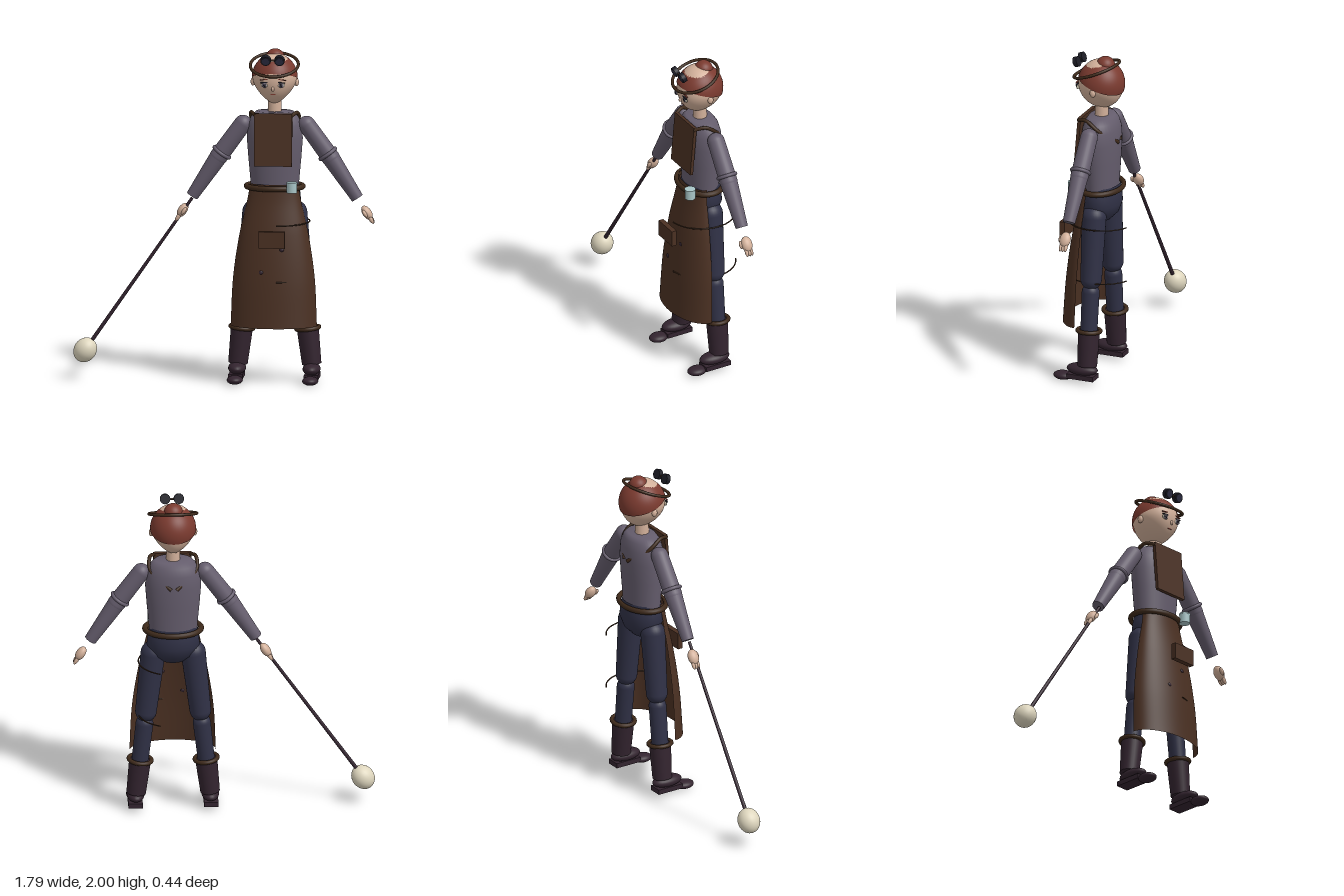
import * as THREE from 'three';
import { mergeGeometries } from 'three/addons/utils/BufferGeometryUtils.js';
import { ParametricGeometry } from 'three/addons/geometries/ParametricGeometry.js';

const V = (x, y, z) => new THREE.Vector3(x, y, z);
const UP = V(0, 1, 0);

export function createModel() {
  const mat = (name, color, side = THREE.FrontSide) => {
    const m = new THREE.MeshStandardMaterial({ color, side });
    m.name = name;
    return m;
  };
  const skin = mat('skin', 0xd2b09a);
  const hair = mat('hair', 0x7a3a2f, THREE.DoubleSide);
  const shirt = mat('shirt', 0x655d6d);
  const leather = mat('apronLeather', 0x4a3022, THREE.DoubleSide);
  const strap = mat('strapLeather', 0x3d291a);
  const cloth = mat('trousers', 0x303146);
  const boot = mat('boots', 0x33242f);
  const cream = mat('cream', 0xded6be);
  const glass = mat('glass', 0xa9c6c8);
  const dark = mat('dark', 0x1d1d26);

  const model = new THREE.Group();
  const figure = new THREE.Group();
  figure.name = 'figure';
  figure.position.x = 0.296;
  model.add(figure);

  const add = (name, geo, material, pos = V(0, 0, 0), rx = 0, rz = 0) => {
    const m = new THREE.Mesh(geo, material);
    m.name = name;
    m.position.copy(pos);
    m.rotation.set(rx, 0, rz);
    figure.add(m);
    return m;
  };
  const ball = (name, material, pos, x, y, z, rx = 0, rz = 0) =>
    add(name, new THREE.SphereGeometry(1, 28, 18).scale(x, y, z), material, pos, rx, rz);
  // turns a part's y axis to point from a to b
  const aim = (mesh, a, b) => {
    mesh.quaternion.setFromUnitVectors(UP, b.clone().sub(a).normalize());
    return mesh;
  };
  // tapered limb from a to b with optional rounded ends
  const limb = (name, material, a, b, ra, rb, roundA = true, roundB = true) => {
    const len = a.distanceTo(b);
    const parts = [new THREE.CylinderGeometry(rb, ra, len, 28)];
    if (roundA) parts.push(new THREE.SphereGeometry(ra, 28, 16).translate(0, -len / 2, 0));
    if (roundB) parts.push(new THREE.SphereGeometry(rb, 28, 16).translate(0, len / 2, 0));
    return aim(add(name, mergeGeometries(parts), material, a.clone().lerp(b, 0.5)), a, b);
  };
  const ring = (r, tube) => new THREE.TorusGeometry(r, tube, 12, 48).rotateX(Math.PI / 2);
  const lathe = (pts, depth) =>
    new THREE.LatheGeometry(pts.map(p => new THREE.Vector2(...p)), 40).scale(1, 1, depth);

  // torso, hips, neck
  add('torso', lathe([[0.142, 1.16], [0.146, 1.22], [0.158, 1.35], [0.167, 1.47], [0.16, 1.55],
    [0.14, 1.6], [0.11, 1.63], [0, 1.632]], 0.67), shirt, V(0, 0, -0.012));
  add('hips', lathe([[0, 0.96], [0.07, 0.975], [0.13, 1.02], [0.158, 1.08], [0.152, 1.14],
    [0.14, 1.2]], 0.73), cloth, V(0, 0, -0.014));
  add('neck', new THREE.CylinderGeometry(0.04, 0.042, 0.14, 24), skin, V(0, 1.65, -0.01));

  // head, narrowing to the chin when seen from the front
  const headGeo = new THREE.SphereGeometry(1, 40, 28);
  const hp = headGeo.attributes.position;
  for (let i = 0; i < hp.count; i++) {
    const t = Math.max(0, -hp.getY(i));
    hp.setX(i, hp.getX(i) * (1 - 0.4 * t ** 1.5));
  }
  headGeo.scale(0.132, 0.15, 0.137);
  headGeo.computeVertexNormals();
  add('head', headGeo, skin, V(0, 1.828, -0.007));
  add('hairCap', new THREE.SphereGeometry(1, 40, 16, 0, Math.PI * 2, 0, Math.PI / 2)
    .scale(0.137, 0.148, 0.143), hair, V(0, 1.828, -0.007), -0.32);
  ball('hairBun', hair, V(0, 1.948, -0.035), 0.056, 0.053, 0.056);

  // face
  for (const s of [-1, 1]) {
    ball('eyeWhite', cream, V(s * 0.05, 1.805, 0.119), 0.022, 0.014, 0.008);
    ball('iris', shirt, V(s * 0.05, 1.805, 0.125), 0.014, 0.016, 0.005);
    ball('pupil', dark, V(s * 0.05, 1.805, 0.129), 0.007, 0.009, 0.004);
    add('eyelid', new THREE.BoxGeometry(0.042, 0.006, 0.008), dark, V(s * 0.052, 1.821, 0.124), 0, s * -0.06);
    add('eyebrow', new THREE.BoxGeometry(0.045, 0.005, 0.008), hair, V(s * 0.055, 1.838, 0.122), 0, s * -0.15);
    ball('ear', skin, V(s * 0.13, 1.805, -0.007), 0.014, 0.024, 0.018);
  }
  ball('nose', skin, V(0, 1.782, 0.125), 0.009, 0.014, 0.01);
  add('mouth', new THREE.BoxGeometry(0.03, 0.005, 0.008), hair, V(0, 1.748, 0.107));

  // goggles pushed up on their strap
  add('goggleStrap', ring(0.143, 0.009), strap, V(0, 1.912, 0.022), 0.365);
  for (const s of [-1, 1]) {
    add('goggleCup', new THREE.CylinderGeometry(0.031, 0.031, 0.026, 24).rotateX(Math.PI / 2),
      dark, V(s * 0.041, 1.957, 0.133), 0.35);
    add('goggleLens', new THREE.CylinderGeometry(0.022, 0.022, 0.006, 24).rotateX(Math.PI / 2),
      cloth, V(s * 0.041, 1.9525, 0.1455), 0.35);
  }
  add('goggleBridge', new THREE.CylinderGeometry(0.006, 0.006, 0.04, 10), strap,
    V(0, 1.957, 0.133), 0, Math.PI / 2);

  // arms and hands
  for (const s of [-1, 1]) {
    const z = -0.01;
    const shoulder = V(s * 0.19, 1.55, z), elbow = V(s * 0.335, 1.35, z), wrist = V(s * 0.492, 1.112, z);
    limb('upperArm', shirt, shoulder, elbow, 0.052, 0.054);
    limb('forearm', shirt, elbow, wrist, 0.053, 0.037, true, false);
    aim(add('sleeveBand', ring(0.054, 0.011), shirt, V(s * 0.316, 1.376, z)), shoulder, elbow);
    const along = wrist.clone().sub(elbow).normalize();
    const hand = d => wrist.clone().addScaledVector(along, d);
    aim(ball('palm', skin, hand(0.105), 0.027, 0.047, 0.034), elbow, wrist);
    for (const f of [-1, 0, 1])
      aim(ball('finger', skin, hand(0.15).add(V(0, 0, f * 0.016)), 0.012, 0.03, 0.01), elbow, wrist);
    aim(ball('thumb', skin, hand(0.1).add(V(-s * 0.008, -0.005, 0.033)), 0.011, 0.025, 0.012), elbow, wrist);
  }

  // staff with a padded end, held in the right hand
  const staffTop = V(-0.492, 1.1, 0), staffEnd = V(-1.13, 0.175, 0);
  limb('staff', boot, staffEnd, staffTop, 0.0115, 0.009, false, false);
  aim(ball('staffBall', cream, staffEnd, 0.067, 0.077, 0.067), staffEnd, staffTop);

  // legs and boots
  for (const s of [-1, 1]) {
    const z = -0.012, at = (y, dz = z) => V(s * (0.232 - 0.11 * y), y, dz);
    limb('thigh', cloth, at(1.02), at(0.64), 0.074, 0.064);
    limb('shin', cloth, at(0.56), at(0.3), 0.053, 0.05);
    limb('bootShaft', boot, at(0.11), at(0.33), 0.058, 0.066, false, false);
    aim(add('bootCuff', ring(0.068, 0.013), strap, at(0.325)), at(0.1), at(0.3));
    ball('bootAnkle', boot, V(s * 0.222, 0.085, 0.02), 0.053, 0.036, 0.098);
    ball('bootToe', boot, V(s * 0.225, 0.031, 0.142), 0.048, 0.026, 0.06);
    add('bootSole', new THREE.BoxGeometry(0.085, 0.03, 0.17), boot, V(s * 0.225, 0.043, 0.018));
  }

  // apron skirt: half-elliptical shell flaring downwards (rows hold half width, height, front z)
  const rows = new THREE.CatmullRomCurve3([V(0.142, 1.2, 0.095), V(0.16, 1.1, 0.108),
    V(0.205, 0.9, 0.147), V(0.243, 0.64, 0.182), V(0.257, 0.35, 0.204)]);
  add('apronSkirt', new ParametricGeometry((u, v, out) => {
    const r = rows.getPoint(v), a = (u - 0.5) * Math.PI, back = 0.025 + 0.032 * v;
    out.set(r.x * Math.sin(a), r.y, back + (r.z - back) * Math.cos(a));
  }, 32, 24), leather);
  add('apronBib', new THREE.BoxGeometry(0.226, 0.315, 0.02), leather, V(0, 1.472, 0.1), -0.085);
  add('apronPocket', new THREE.BoxGeometry(0.157, 0.1, 0.032), leather, V(0.002, 0.889, 0.213));
  add('apronRivet', new THREE.SphereGeometry(0.013, 16, 10).scale(1, 0.85, 0.35), boot, V(0.056, 0.82, 0.157), -0.13);
  add('apronRivet', new THREE.SphereGeometry(0.013, 16, 10).scale(1, 0.85, 0.35), boot, V(-0.066, 0.685, 0.173), -0.13);

  // shoulder straps running round to the back
  for (const s of [-1, 1]) {
    const path = new THREE.CatmullRomCurve3([V(s * 0.105, 1.615, 0.095), V(s * 0.137, 1.628, 0.03),
      V(s * 0.137, 1.575, -0.045), V(s * 0.015, 1.475, -0.125)]);
    add('shoulderStrap', new THREE.TubeGeometry(path, 32, 0.011, 10), strap);
  }

  // loose ties looping round the left side
  for (const y of [0.967, 0.628]) {
    add('apronTie', new THREE.TorusGeometry(0.207, 0.004, 8, 40, 2.6)
      .rotateZ(-1.15).rotateX(Math.PI / 2), strap, V(0, y, -0.017));
  }

  // belt and hanging vial
  add('belt', ring(0.167, 0.017).scale(1, 1, 0.76), strap, V(0, 1.178, -0.008));
  add('vial', new THREE.CylinderGeometry(0.031, 0.031, 0.06, 24), glass, V(0.114, 1.19, 0.124));
  add('vialRim', new THREE.CylinderGeometry(0.033, 0.033, 0.008, 24), glass, V(0.114, 1.219, 0.124));

  return model;
}
